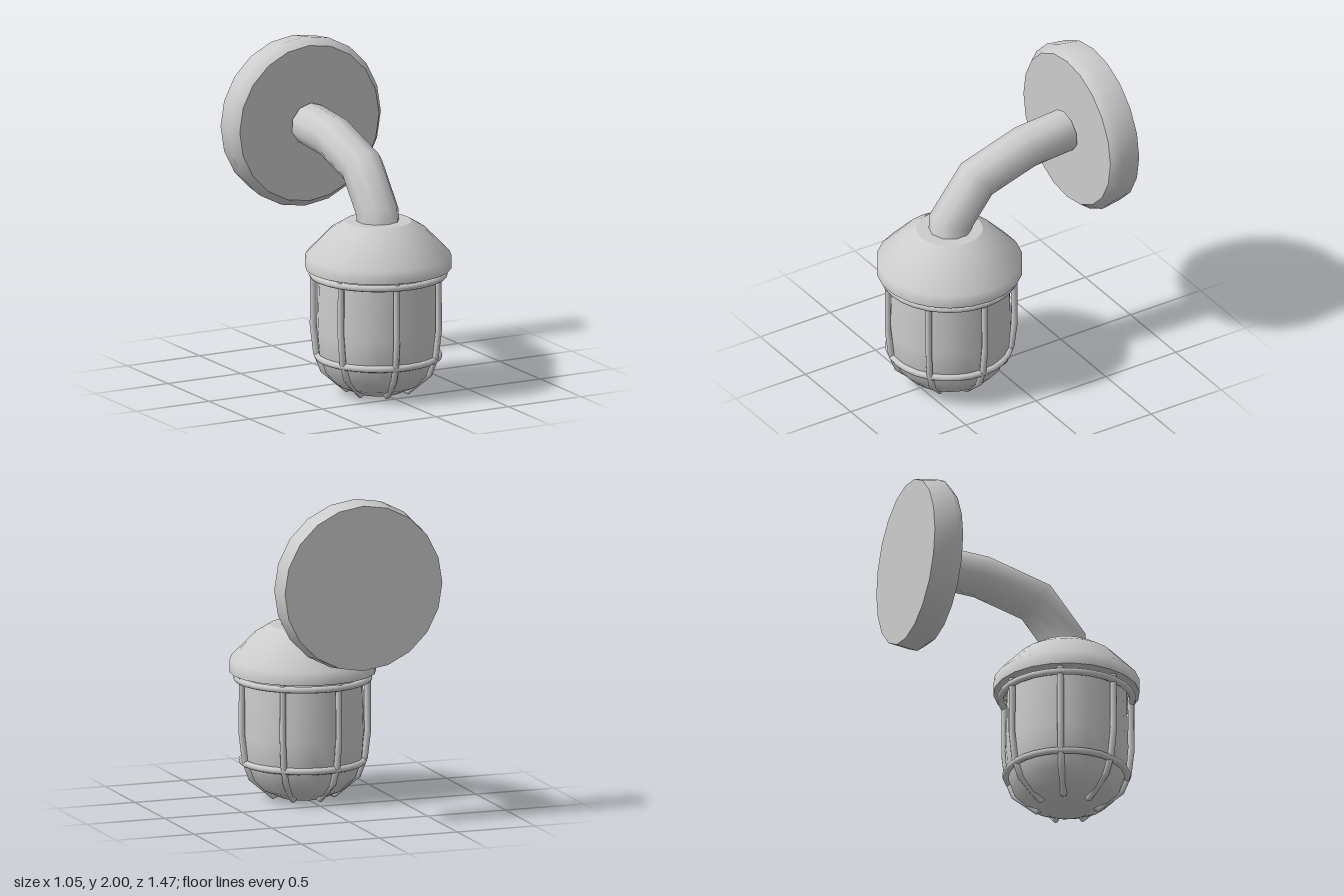
import * as THREE from 'three';
import { mergeGeometries } from 'three/addons/utils/BufferGeometryUtils.js';

const LAMP_Z = 0.295;

// Lathe made of several profile runs; each run is smooth, edges between runs stay sharp.
function lathe(sides, phase, ...runs) {
  return mergeGeometries(runs.map((run) =>
    new THREE.LatheGeometry(run.map(([r, y]) => new THREE.Vector2(r, y)), sides, phase)));
}

// Round rod swept along a mitred path of [z, y] points in the x = 0 plane.
function rod(path, radius, sides) {
  const pos = [], index = [];
  const pts = path.map(([z, y]) => new THREE.Vector2(z, y));
  const dir = (i) => pts[i + 1].clone().sub(pts[i]).normalize();
  pts.forEach((p, i) => {
    const before = dir(Math.max(i - 1, 0));
    const after = dir(Math.min(i, pts.length - 2));
    const t = before.clone().add(after).normalize();
    const r = radius / Math.max(t.dot(after), 0.5);
    for (let j = 0; j < sides; j++) {
      const a = (j / sides) * Math.PI * 2;
      const out = Math.cos(a) * r;
      pos.push(Math.sin(a) * radius, p.y - t.x * out, p.x + t.y * out);
      if (i < pts.length - 1) {
        const k = (j + 1) % sides, n = i * sides;
        index.push(n + j, n + k, n + sides + j, n + k, n + sides + k, n + sides + j);
      }
    }
  });
  const g = new THREE.BufferGeometry();
  g.setAttribute('position', new THREE.Float32BufferAttribute(pos, 3));
  g.setIndex(index);
  g.computeVertexNormals();
  return g;
}

export function createModel() {
  const model = new THREE.Group();
  model.name = 'wallLamp';
  const metal = new THREE.MeshStandardMaterial({ color: 0xcccccc });
  metal.name = 'light grey';

  const add = (parent, name, geometry) => {
    const mesh = new THREE.Mesh(geometry, metal);
    mesh.name = name;
    parent.add(mesh);
    return mesh;
  };

  // Round plate against the wall
  const plate = add(model, 'wallPlate', lathe(20, 0,
    [[0, -0.735], [0.505, -0.735]],
    [[0.505, -0.735], [0.523, -0.6], [0.48, -0.545]],
    [[0.48, -0.545], [0, -0.545]]));
  plate.rotation.x = Math.PI / 2;
  plate.position.y = 1.477;

  // Bent arm from the lamp cap to the plate
  add(model, 'arm', rod(
    [[0.295, 0.95], [0.285, 1.11], [0.1, 1.345], [-0.25, 1.455], [-0.535, 1.477]], 0.13, 10));

  const lamp = new THREE.Group();
  lamp.name = 'lamp';
  lamp.position.z = LAMP_Z;
  model.add(lamp);

  // Cap over the glass
  const phase = Math.PI / 22;
  add(lamp, 'cap', lathe(22, phase,
    [[0.3, 0.77], [0.44, 0.77]],
    [[0.44, 0.77], [0.44, 0.85], [0.29, 1.005], [0.2, 1.06]],
    [[0.2, 1.06], [0, 1.06]]));

  // Glass jar with a rounded bottom
  add(lamp, 'glass', lathe(22, phase,
    [[0, 0.005], [0.14, 0.005]],
    [[0.14, 0.005], [0.25, 0.055], [0.32, 0.125], [0.36, 0.24], [0.372, 0.4], [0.36, 0.78]]));

  // Cage: two hoops and seven bars
  const cage = new THREE.Group();
  cage.name = 'cage';
  lamp.add(cage);
  for (const [name, radius, y] of [['upperHoop', 0.398, 0.735], ['lowerHoop', 0.365, 0.228]]) {
    const hoop = add(cage, name, new THREE.TorusGeometry(radius, 0.021, 8, 28));
    hoop.rotation.x = Math.PI / 2;
    hoop.position.y = y;
  }
  const barShape = rod(
    [[0.12, 0.05], [0.19, 0.022], [0.33, 0.14], [0.372, 0.25], [0.392, 0.42], [0.39, 0.78]], 0.02, 8);
  for (let i = 0; i < 7; i++) {
    add(cage, 'cageBar', barShape).rotation.y = Math.PI / 2 + (i * Math.PI * 2) / 7;
  }

  return model;
}
